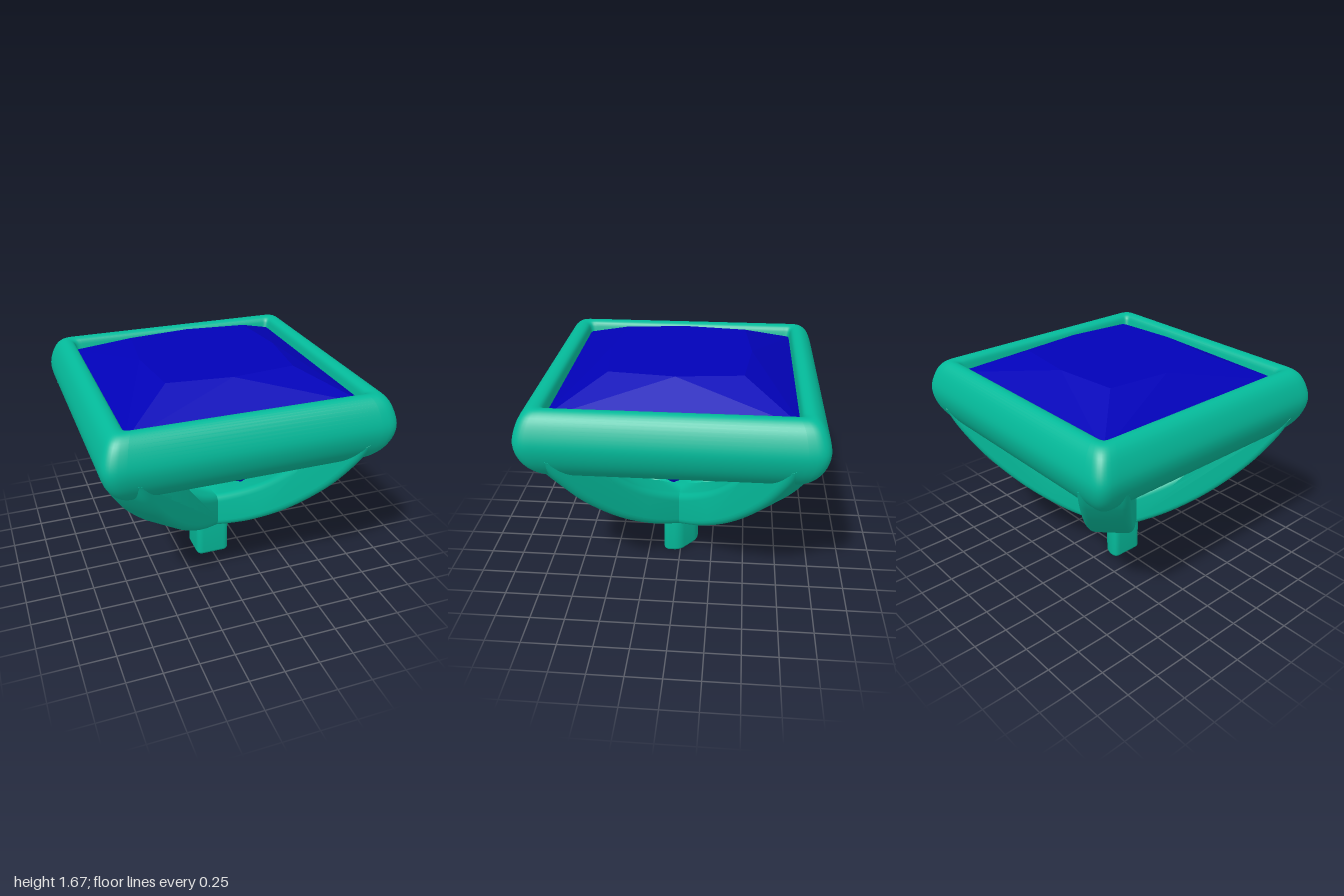
import * as THREE from 'three';
import { toCreasedNormals } from 'three/addons/utils/BufferGeometryUtils.js';
import { ConvexGeometry } from 'three/addons/geometries/ConvexGeometry.js';

const metal = new THREE.MeshStandardMaterial({ color: 0x04ba9a });
const stone = new THREE.MeshStandardMaterial({ color: 0x0202b8 });
const v = (x, y) => new THREE.Vector2(x, y);

function part(name, geometry, material) {
  const mesh = new THREE.Mesh(geometry, material);
  mesh.name = name;
  return mesh;
}

// Extruded shape with rounded edges; overall depth includes the bevels
function roundedExtrude(shape, depth, bevel) {
  const g = new THREE.ExtrudeGeometry(shape, {
    depth: depth - 2 * bevel, bevelEnabled: true, bevelThickness: bevel,
    bevelSize: bevel, bevelOffset: -bevel, bevelSegments: 5, curveSegments: 16,
  });
  g.translate(0, 0, bevel);
  return toCreasedNormals(g, 0.75);
}

// Square ring: a closed (half-size, y) profile swept round a square with soft, squarish corners
function squareRing(points) {
  const curve = new THREE.CatmullRomCurve3(
    points.map(([r, y]) => new THREE.Vector3(r, y, 0)), true, 'centripetal');
  const profile = curve.getPoints(56).slice(0, -1);
  const steps = 8, around = 4 * (steps + 1);
  const soften = (t) => Math.sign(t) * Math.abs(t) ** 0.6;
  const pos = [], index = [];
  for (const p of profile) {
    const radius = Math.max(0.02, 0.05 + 0.5 * (p.x - 0.8));
    const core = p.x - radius;
    for (let c = 0; c < 4; c++) {
      const mid = (c + 0.5) * Math.PI / 2;
      for (let s = 0; s <= steps; s++) {
        const a = (c + s / steps) * Math.PI / 2;
        pos.push(core * Math.SQRT2 * Math.cos(mid) + radius * soften(Math.cos(a)), p.y,
          core * Math.SQRT2 * Math.sin(mid) + radius * soften(Math.sin(a)));
      }
    }
  }
  for (let j = 0; j < profile.length; j++) {
    const k = (j + 1) % profile.length;
    for (let i = 0; i < around; i++) {
      const n = (i + 1) % around;
      const a = j * around + i, b = k * around + i, c = k * around + n, d = j * around + n;
      index.push(a, d, b, b, d, c);
    }
  }
  const g = new THREE.BufferGeometry();
  g.setAttribute('position', new THREE.Float32BufferAttribute(pos, 3));
  g.setIndex(index);
  g.computeVertexNormals();
  return g;
}

// Curved strut spanning one diagonal, from corner to corner
function archShape() {
  const lower = [v(0.1, 0.29), v(0.4, 0.42), v(0.7, 0.61), v(0.98, 0.86), v(1.17, 1.1), v(1.26, 1.27)];
  const upper = [v(0.9, 1.27), v(0.86, 1.12), v(0.52, 0.8), v(0.16, 0.595), v(0, 0.56)];
  const flip = (list) => list.map((p) => v(-p.x, p.y)).reverse();
  const shape = new THREE.Shape();
  shape.moveTo(lower[0].x, lower[0].y);
  shape.splineThru(lower.slice(1));
  shape.lineTo(upper[0].x, upper[0].y);
  shape.splineThru([...upper.slice(1), ...flip(upper).slice(1)]);
  shape.lineTo(-lower[5].x, lower[5].y);
  shape.splineThru(flip(lower).slice(1));
  shape.closePath();
  return shape;
}

// Polygon with softened corners
function softPolygon(corners, radius) {
  const shape = new THREE.Shape();
  corners.forEach((p, i) => {
    const toward = (q) => q.clone().sub(p).setLength(radius).add(p);
    const start = toward(corners.at(i - 1));
    const end = toward(corners[(i + 1) % corners.length]);
    if (i === 0) shape.moveTo(start.x, start.y);
    else shape.lineTo(start.x, start.y);
    shape.quadraticCurveTo(p.x, p.y, end.x, end.y);
  });
  shape.closePath();
  return shape;
}

// Cut stone: octagonal table, square girdle, kite facets running down to the apex
function gemGeometry() {
  const pts = [new THREE.Vector3(0, 0.635, 0)];
  const corners = (y, r) => {
    for (const x of [-r, r]) for (const z of [-r, r]) pts.push(new THREE.Vector3(x, y, z));
  };
  const middles = (y, r) => {
    for (const s of [-r, r]) pts.push(new THREE.Vector3(s, y, 0), new THREE.Vector3(0, y, s));
  };
  corners(1.67, 0.45);
  middles(1.67, 0.5);
  corners(1.49, 0.82);
  corners(1.455, 0.82);
  middles(0.97, 0.67);
  return new ConvexGeometry(pts);
}

export function createModel() {
  const model = new THREE.Group();

  // Bulging square frame, its lower lip reaching in under the stone
  model.add(part('frame', squareRing([
    [0.805, 1.5], [0.825, 1.565], [0.88, 1.58], [0.935, 1.545], [0.98, 1.46], [1.0, 1.36],
    [0.975, 1.25], [0.92, 1.16], [0.85, 1.1], [0.77, 1.075], [0.7, 1.08], [0.67, 1.12],
    [0.71, 1.22], [0.78, 1.37],
  ]), metal));

  // Two crossing arches make the four legs of the setting
  const archGeometry = roundedExtrude(archShape(), 0.32, 0.05);
  archGeometry.translate(0, 0, -0.16);
  for (const side of [1, -1]) {
    const arch = part(side > 0 ? 'archA' : 'archB', archGeometry, metal);
    arch.rotation.y = side * Math.PI / 4;
    model.add(arch);
  }

  // Short post with one wide chamfered corner
  const postShape = softPolygon([
    v(-0.13, -0.13), v(0.13, -0.13), v(0.13, 0), v(-0.03, 0.13), v(-0.13, 0.13),
  ], 0.05);
  const postGeometry = roundedExtrude(postShape, 0.42, 0.025);
  postGeometry.rotateX(-Math.PI / 2);
  model.add(part('post', postGeometry, metal));

  model.add(part('gem', gemGeometry(), stone));
  return model;
}
